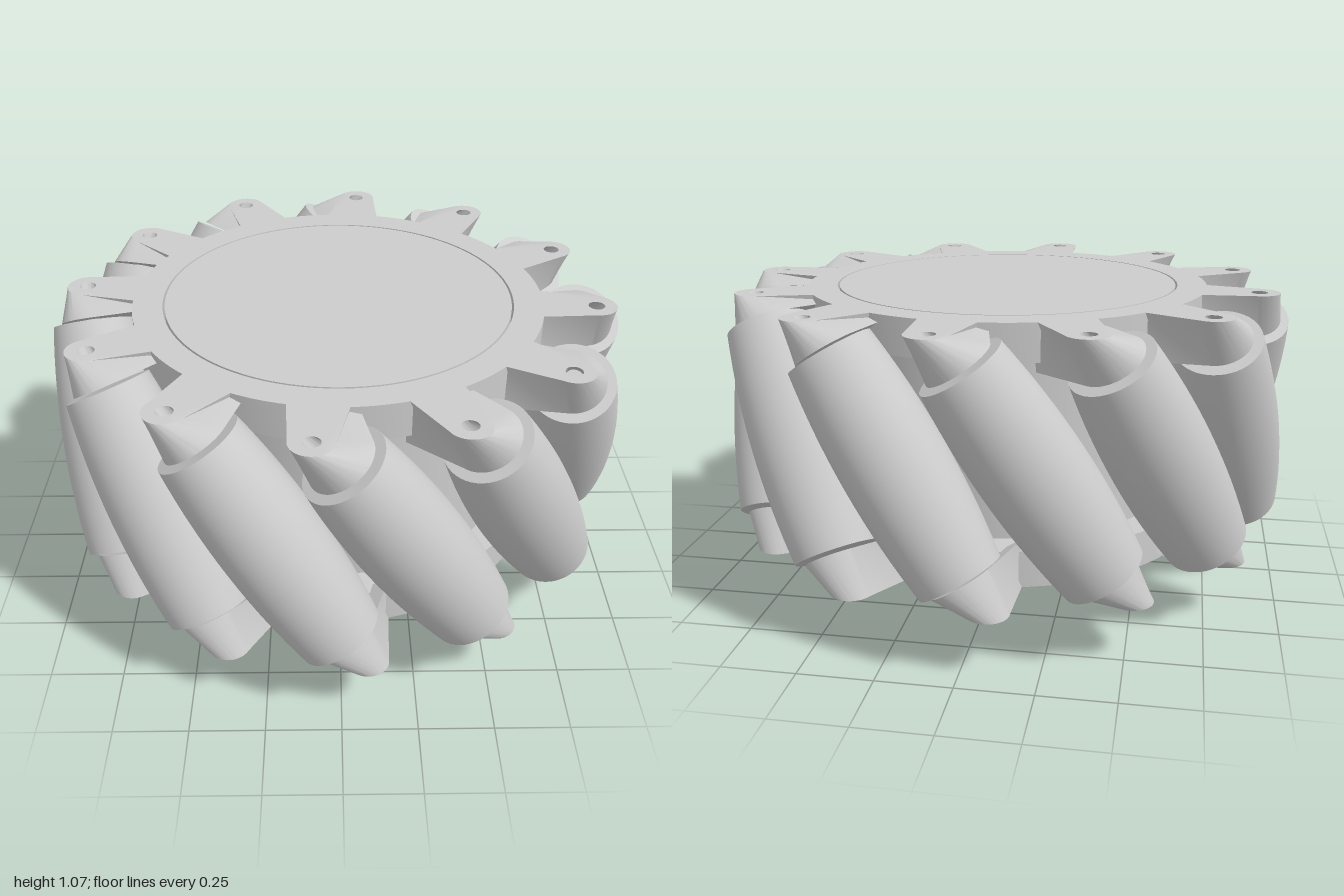
import * as THREE from 'three';
import { toCreasedNormals } from 'three/addons/utils/BufferGeometryUtils.js';

const COUNT = 12;          // rollers around the wheel
const HALF = 0.435;        // half the wheel width
const PITCH = 0.83;        // distance of the roller axes from the wheel axis
const TILT = THREE.MathUtils.degToRad(33);
const ROLLER_HALF = 0.4;
const EAR_ANGLE = THREE.MathUtils.degToRad(-20.5);

const material = new THREE.MeshStandardMaterial({ color: 0xcccccc });

function addMesh(parent, name, geometry) {
  const mesh = new THREE.Mesh(geometry, material);
  mesh.name = name;
  parent.add(mesh);
  return mesh;
}

// Barrel whose bulge follows the round outline of the wheel
function rollerGeometry() {
  const points = [new THREE.Vector2(0, -ROLLER_HALF)];
  for (let i = 0; i <= 16; i++) {
    const s = ROLLER_HALF * (i / 8 - 1);
    points.push(new THREE.Vector2(1 - Math.hypot(PITCH, s * Math.sin(TILT)), s));
  }
  points.push(new THREE.Vector2(0, ROLLER_HALF));
  return toCreasedNormals(new THREE.LatheGeometry(points, 48), 0.6);
}

// Bored lug: its foot is square to the roller axis, its top flush with the plate
function earGeometry() {
  const shape = new THREE.Shape();
  shape.moveTo(-0.1, -0.22);
  shape.lineTo(0.1, -0.22);
  shape.lineTo(0.07, 0);
  shape.absarc(0, 0, 0.07, 0, Math.PI, false);
  shape.closePath();
  const bore = new THREE.Path();
  bore.absarc(0, 0, 0.028, 0, Math.PI * 2, true);
  shape.holes.push(bore);

  const geometry = new THREE.ExtrudeGeometry(shape, { depth: 1, bevelEnabled: false, curveSegments: 16 });
  const sin = Math.sin(TILT), cos = Math.cos(TILT), foot = ROLLER_HALF + 0.01;
  const p = geometry.attributes.position;
  for (let i = 0; i < p.count; i++) {
    const w = -p.getX(i), v = p.getY(i);
    if (p.getZ(i) > 0.5) {
      const top = new THREE.Vector3(w, HALF, 0.89 + v).applyAxisAngle(new THREE.Vector3(0, 1, 0), EAR_ANGLE);
      p.setXYZ(i, top.x, top.y, top.z);
    } else {
      const wide = w * (1.6 + Math.min(v, 0) * 1.6);
      p.setXYZ(i, -foot * sin + wide * cos, foot * cos + wide * sin, PITCH + (v > 0 ? v * 1.6 : v));
    }
  }
  geometry.deleteAttribute('uv');
  geometry.deleteAttribute('normal');
  return toCreasedNormals(geometry, 0.6);
}

// Flat ring with a narrow groove around the hub
function plateGeometry() {
  const shape = new THREE.Shape();
  shape.absarc(0, 0, 0.71, 0, Math.PI * 2, false);
  const hole = new THREE.Path();
  hole.absarc(0, 0, 0.607, 0, Math.PI * 2, true);
  shape.holes.push(hole);
  const geometry = new THREE.ExtrudeGeometry(shape, { depth: 0.125, bevelEnabled: false, curveSegments: 48 });
  geometry.rotateX(-Math.PI / 2);
  return toCreasedNormals(geometry, 0.6);
}

export function createModel() {
  const model = new THREE.Group();
  model.name = 'rollerWheel';
  const wheel = new THREE.Group();
  wheel.name = 'wheel';
  wheel.position.y = 0.2 + HALF;
  model.add(wheel);

  // Hub, side plates and shaft
  addMesh(wheel, 'hub', new THREE.CylinderGeometry(0.6, 0.6, HALF * 2, 96));
  const plate = plateGeometry();
  addMesh(wheel, 'topPlate', plate).position.y = HALF - 0.125;
  addMesh(wheel, 'bottomPlate', plate).position.y = -HALF;
  addMesh(model, 'shaft', new THREE.CylinderGeometry(0.137, 0.137, 0.22, 48)).position.y = 0.11;

  // Slanted rollers, each held by an ear at both ends
  const roller = rollerGeometry();
  const ear = earGeometry();
  for (let i = 0; i < COUNT; i++) {
    const station = new THREE.Group();
    station.name = 'rollerStation';
    station.rotation.y = ((i + 0.5) / COUNT) * Math.PI * 2;
    wheel.add(station);

    const barrel = addMesh(station, 'roller', roller);
    barrel.position.z = PITCH;
    barrel.rotation.z = TILT;
    addMesh(station, 'topEar', ear);
    addMesh(station, 'bottomEar', ear).rotation.z = Math.PI;
  }
  return model;
}
